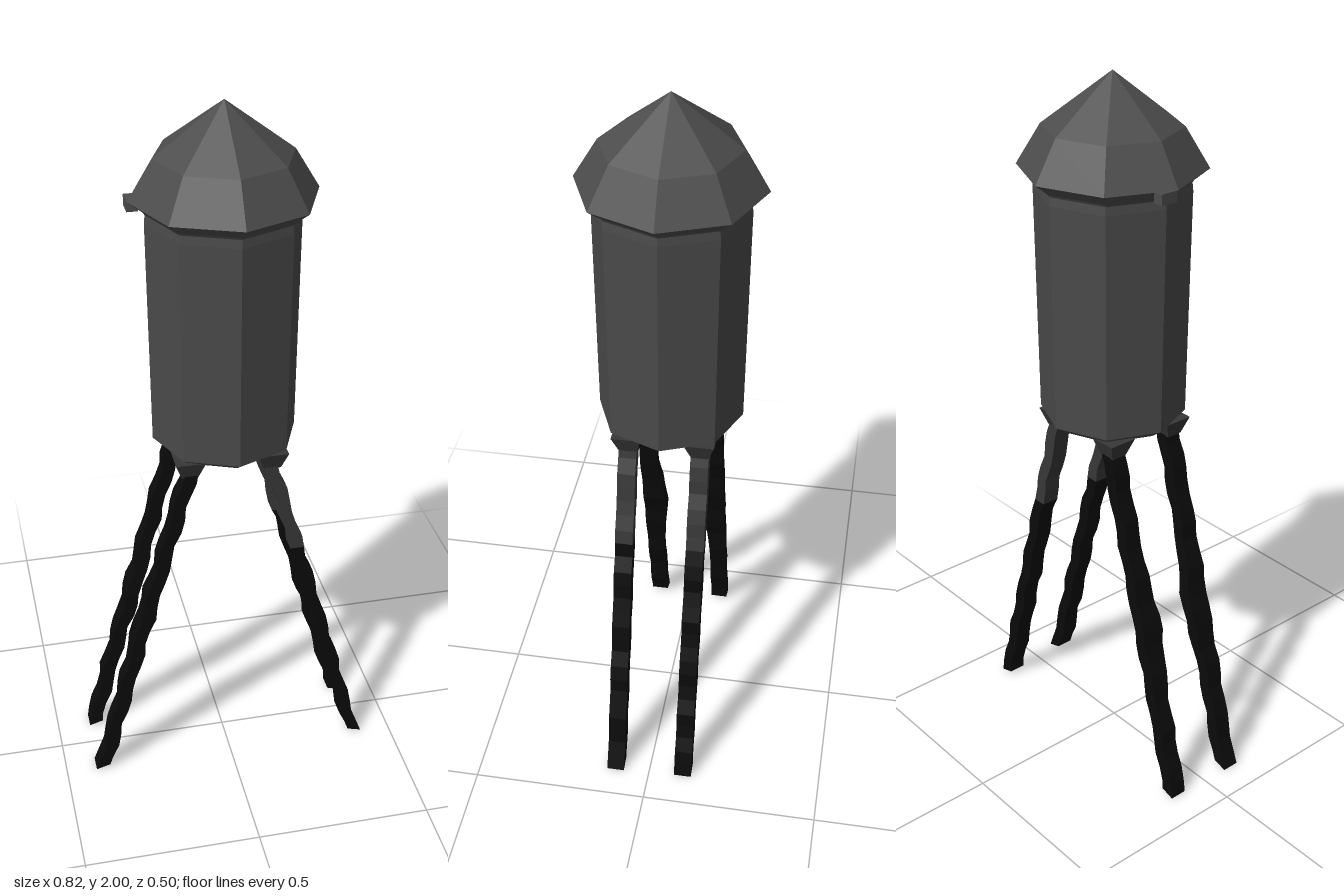
import * as THREE from 'three';

const paint = (color) => new THREE.MeshStandardMaterial({ color, flatShading: true });
const v = (x, y) => new THREE.Vector2(x, y);

// Eight-sided turned part with corners on the x and z axes
function octagon(name, profile, material) {
  const mesh = new THREE.Mesh(new THREE.LatheGeometry(profile, 8), material);
  mesh.name = name;
  mesh.position.x = 0.006;
  return mesh;
}

// Length of rough square timber between heights y0 and y1, on the +x or -x side
function timber(name, y0, y1, sx, sz, material) {
  const geo = new THREE.BoxGeometry(1, 1, 1, 1, Math.round((y1 - y0) * 24), 1);
  const pos = geo.attributes.position;
  for (let i = 0; i < pos.count; i++) {
    const y = y0 + (y1 - y0) * (pos.getY(i) + 0.5);
    const cx = 0.112 + 0.275 * Math.pow(1 - Math.min(y, 1), 0.97);
    const wave = 0.005 * Math.sin(y * 42 + sz);
    // the -x legs swell inward around mid-height
    const swell = sx < 0 ? 0.02 * Math.max(0, 1 - Math.abs(y - 0.5) / 0.2) : 0;
    const w = 0.038 + 0.003 * Math.cos(y * 60);
    const inner = pos.getZ(i) < 0;
    pos.setXYZ(i,
      sx * (cx + wave) + pos.getX(i) * w,
      y + (y < 0.001 ? 0.012 * (pos.getX(i) * -sx + 0.5) : 0),
      sz * 0.1 + (sz > 0 === inner ? -sz * swell : 0) + pos.getZ(i) * 0.05);
  }
  geo.computeVertexNormals();
  const mesh = new THREE.Mesh(geo, material);
  mesh.name = name;
  return mesh;
}

export function createModel() {
  const model = new THREE.Group();
  model.name = 'waterTower';
  const tankGrey = paint(0x4a4a4a);
  const roofGrey = paint(0x4d4d4d);
  const black = paint(0x0b0b0b);
  const worn = paint(0x383838);

  // Tank, bevelled at the floor
  model.add(octagon('tank', [
    v(0, 1.04), v(0.165, 1.035), v(0.2, 1.06), v(0.208, 1.69), v(0.205, 1.72),
  ], tankGrey));

  // Domed, pointed roof with overhanging eaves
  model.add(octagon('roof', [
    v(0.2, 1.705), v(0.21, 1.72), v(0.25, 1.752), v(0.185, 1.86), v(0, 2),
  ], roofGrey));

  // Broken edge hanging from the eaves
  const flap = new THREE.Mesh(new THREE.BoxGeometry(0.03, 0.03, 0.05), roofGrey);
  flap.name = 'brokenEave';
  flap.position.set(-0.23, 1.738, -0.03);
  model.add(flap);

  // Four splayed legs, each with a flared bracket under the tank
  for (const sx of [-1, 1]) {
    for (const sz of [-1, 1]) {
      const leg = new THREE.Group();
      leg.name = (sz > 0 ? 'front' : 'back') + (sx > 0 ? 'Left' : 'Right') + 'Leg';
      const split = sx > 0 ? 0.72 : 0.9;
      leg.add(timber('lowerTimber', 0, split, sx, sz, black));
      leg.add(timber('upperTimber', split, 1.01, sx, sz, sx > 0 ? worn : black));
      const bracket = new THREE.Mesh(
        new THREE.CylinderGeometry(0.058, 0.033, 0.05, 4).rotateY(Math.PI / 4), worn);
      bracket.name = 'bracket';
      bracket.position.set(sx * 0.115, 1.02, sz * 0.1);
      leg.add(bracket);
      model.add(leg);
    }
  }
  return model;
}
